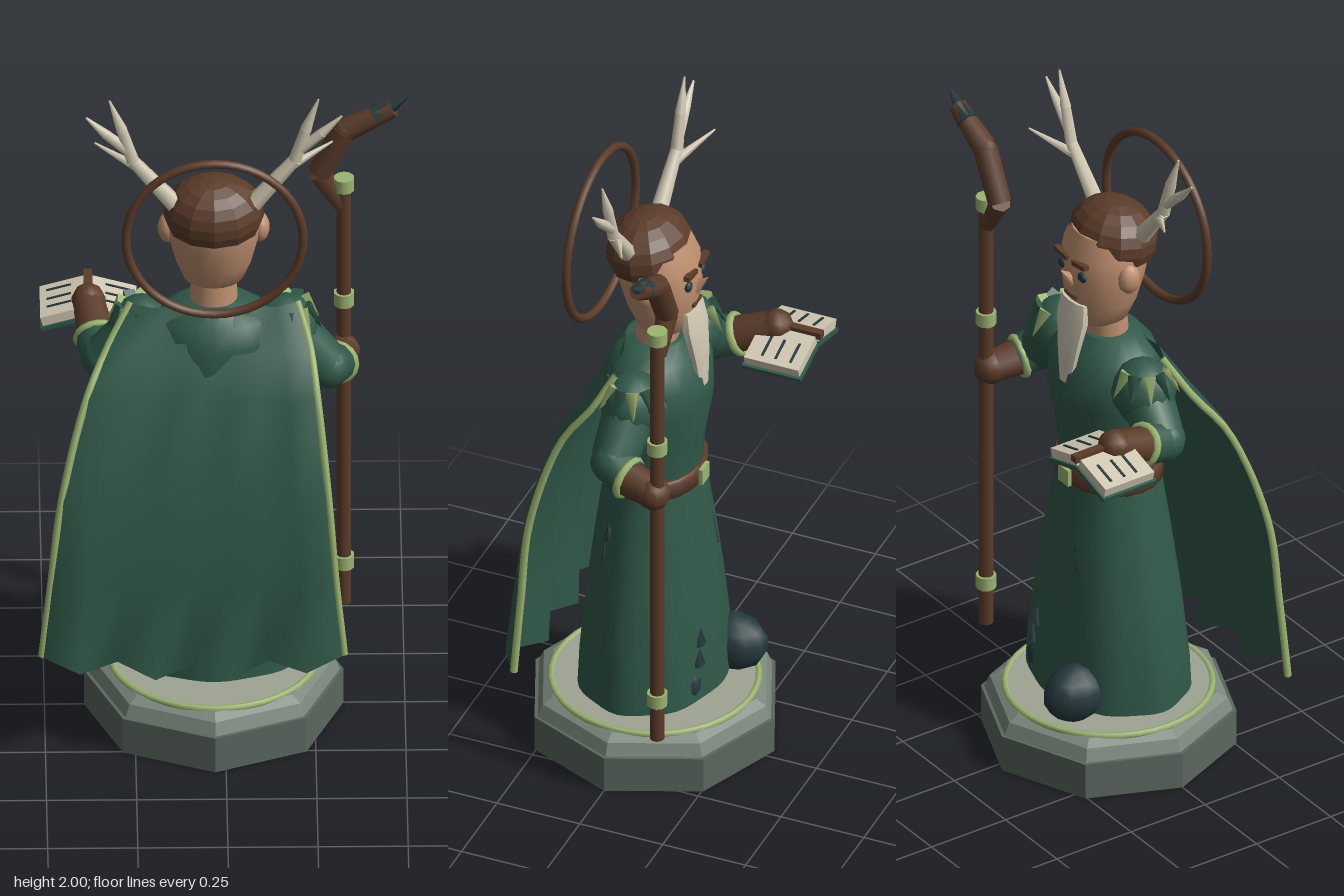
import * as THREE from 'three';
import { toCreasedNormals } from 'three/addons/utils/BufferGeometryUtils.js';

const V = (x, y, z) => new THREE.Vector3(x, y, z);
const CX = -0.03; // body axis

export function createModel() {
  const mat = (name, color) => {
    const m = new THREE.MeshStandardMaterial({ color });
    m.name = name;
    return m;
  };
  const cloth = mat('green cloth', 0x31594a), trim = mat('leaf green trim', 0x9db573);
  const leather = mat('brown wood and leather', 0x5c3c2a), skin = mat('skin', 0xc09070);
  const bone = mat('bone', 0xd2c9b4), slate = mat('dark slate', 0x263a3e);
  const stoneDark = mat('dark stone', 0x5b675f), stone = mat('stone', 0x7b877d), stoneTop = mat('pale stone', 0xa0a494);
  const capeMat = mat('cape cloth', 0x31594a);
  capeMat.side = THREE.DoubleSide;

  const model = new THREE.Group();
  model.name = 'hornedSage';
  const add = (name, geo, m, pos = V(0, 0, 0), parent = model) => {
    const mesh = new THREE.Mesh(geo, m);
    mesh.name = name;
    mesh.position.copy(pos);
    parent.add(mesh);
    return mesh;
  };
  // Tapered bar from a to b
  const bar = (name, a, b, ra, rb, m, sides = 8) => {
    const d = b.clone().sub(a);
    const mesh = add(name, new THREE.CylinderGeometry(rb, ra, d.length(), sides), m, a.clone().add(b).multiplyScalar(0.5));
    mesh.quaternion.setFromUnitVectors(V(0, 1, 0), d.normalize());
    return mesh;
  };
  const ball = (name, p, rx, ry, rz, m, w = 12, h = 8) => {
    const mesh = add(name, new THREE.SphereGeometry(1, w, h), m, p);
    mesh.scale.set(rx, ry, rz);
    return mesh;
  };
  // Stacked ellipses, each [y, rx, rz, z], bottom to top, closed at both ends
  const loft = (name, rings, m, x = CX, n = 20, fold = 0) => {
    const first = rings[0], last = rings[rings.length - 1];
    const rows = [[first[0], 0, 0, first[3]], ...rings, [last[0], 0, 0, last[3]]];
    const pos = [], idx = [];
    rows.forEach(([y, rx, rz, z = 0], i) => {
      for (let j = 0; j < n; j++) {
        const t = (j / n) * Math.PI * 2;
        const k = 1 + fold * Math.cos(t * 8) * (1 - i / rows.length);
        pos.push(Math.sin(t) * rx * k, y, Math.cos(t) * rz * k + z);
        if (i === rows.length - 1) continue;
        const a = i * n + j, b = i * n + ((j + 1) % n);
        idx.push(a, b, b + n, a, b + n, a + n);
      }
    });
    const g = new THREE.BufferGeometry();
    g.setAttribute('position', new THREE.Float32BufferAttribute(pos, 3));
    g.setIndex(idx);
    return add(name, toCreasedNormals(g, 0.8), m, V(x, 0, 0));
  };
  const faceted = (g) => toCreasedNormals(g, 0.01);

  // Octagonal pedestal
  const slab = (name, y0, y1, r0, r1, m) =>
    add(name, faceted(new THREE.CylinderGeometry(r1, r0, y1 - y0, 8)), m, V(CX, (y0 + y1) / 2, 0));
  slab('pedestalBase', 0, 0.11, 0.36, 0.36, stoneDark);
  slab('pedestalStep', 0.11, 0.147, 0.35, 0.335, stone);
  slab('pedestalBevel', 0.147, 0.163, 0.335, 0.305, stone);
  add('pedestalTop', new THREE.CylinderGeometry(0.285, 0.285, 0.006, 32), stoneTop, V(CX, 0.164, 0));
  add('pedestalRing', new THREE.TorusGeometry(0.288, 0.01, 6, 40).rotateX(Math.PI / 2), trim, V(CX, 0.163, 0));

  // Feet, robe and belt
  ball('leftFoot', V(-0.145, 0.255, -0.19), 0.075, 0.085, 0.1, slate, 10, 7);
  ball('rightFoot', V(0.08, 0.25, -0.09), 0.065, 0.08, 0.1, slate, 10, 7);
  loft('skirt', [[0.2, 0.265, 0.205, 0], [0.3, 0.262, 0.2, 0], [0.5, 0.232, 0.183, 0], [0.7, 0.195, 0.16, 0], [0.89, 0.158, 0.135, 0]],
    cloth, CX, 48, 0.02);
  loft('torso', [[0.88, 0.153, 0.13, 0], [1.0, 0.162, 0.137, 0], [1.14, 0.185, 0.15, -0.01], [1.23, 0.19, 0.145, -0.01],
    [1.29, 0.16, 0.115, 0], [1.33, 0.095, 0.08, 0]], cloth);
  loft('belt', [[0.86, 0.163, 0.138, 0], [0.868, 0.17, 0.145, 0], [0.912, 0.17, 0.145, 0], [0.92, 0.163, 0.138, 0]], leather);
  add('buckle', new THREE.BoxGeometry(0.05, 0.05, 0.012), trim, V(CX, 0.89, -0.148));
  // Leaf patches on the skirt: angle, height
  for (const [t, y] of [[1.1, 0.74], [1.05, 0.67], [3.45, 0.7], [3.5, 0.64], [2.75, 0.4], [2.7, 0.34]]) {
    const r = 0.27 - (y - 0.2) * 0.155;
    const leaf = add('skirtLeaf', new THREE.ConeGeometry(0.022, 0.06, 4), slate,
      V(CX + Math.sin(t) * r, y, Math.cos(t) * r * 0.8));
    leaf.rotation.y = t;
    leaf.scale.z = 0.5;
  }

  // Head
  loft('neck', [[1.29, 0.068, 0.06, -0.005], [1.42, 0.062, 0.06, -0.015]], skin);
  loft('head', [[1.365, 0.05, 0.05, -0.035], [1.39, 0.085, 0.078, -0.03], [1.45, 0.108, 0.1, -0.025], [1.53, 0.127, 0.115, -0.018],
    [1.6, 0.13, 0.116, -0.01], [1.66, 0.11, 0.1, 0]], skin);
  const hair = add('hair', faceted(new THREE.SphereGeometry(1, 12, 7, 0, Math.PI * 2, 0, Math.PI * 0.62)), leather, V(CX, 1.62, 0.015));
  hair.scale.set(0.14, 0.11, 0.12);
  hair.rotation.x = 0.12;
  add('nose', new THREE.ConeGeometry(0.026, 0.08, 6).rotateX(-0.75), skin, V(CX, 1.535, -0.135));
  bar('mouth', V(CX - 0.028, 1.472, -0.126), V(CX + 0.028, 1.472, -0.126), 0.006, 0.006, leather, 5);
  loft('beard', [[1.2, 0.026, 0.012, -0.145], [1.3, 0.046, 0.022, -0.135], [1.4, 0.064, 0.03, -0.12], [1.455, 0.056, 0.018, -0.115]], bone, CX, 10);
  for (const s of [-1, 1]) {
    ball('ear', V(CX + s * 0.128, 1.55, -0.02), 0.028, 0.045, 0.034, skin, 10, 7);
    ball('eye', V(CX + s * 0.048, 1.55, -0.122), 0.018, 0.016, 0.01, slate, 8, 6);
    const brow = add('brow', new THREE.BoxGeometry(0.06, 0.014, 0.018), leather, V(CX + s * 0.043, 1.588, -0.126));
    brow.rotation.z = s * 0.12;
    // Antler: stem, two crown tines and one forward tine
    const P = (x, y, z) => V(CX + s * x, y, z);
    const fork = P(0.225, 1.8, 0.03);
    bar('antlerStem', P(0.1, 1.65, 0.035), fork, 0.026, 0.018, bone, 6);
    bar('antlerTine', fork, P(0.255, 1.9, 0.032), 0.019, 0.016, bone, 6);
    bar('antlerTine', P(0.255, 1.9, 0.032), P(0.29, 2.0, 0.035), 0.017, 0.003, bone, 6);
    bar('antlerTine', P(0.235, 1.83, 0.03), P(0.3, 1.89, 0.035), 0.016, 0.014, bone, 6);
    bar('antlerTine', P(0.3, 1.89, 0.035), P(0.355, 1.945, 0.035), 0.014, 0.003, bone, 6);
    bar('antlerTine', P(0.2, 1.77, 0.03), P(0.33, 1.815, -0.04), 0.016, 0.003, bone, 6);
  }
  add('halo', new THREE.TorusGeometry(0.246, 0.0125, 8, 48), leather, V(CX, 1.625, 0.163));

  // Cape rows: [y, left x, right x, z, fold depth]
  const rows = [[1.33, -0.26, 0.2, 0.06, 0.008], [1.22, -0.325, 0.235, 0.12, 0.012], [1.1, -0.385, 0.255, 0.175, 0.018],
    [0.82, -0.455, 0.285, 0.262, 0.026], [0.56, -0.485, 0.305, 0.285, 0.035], [0.29, -0.51, 0.328, 0.3, 0.043]];
  const cols = 8, pos = [], idx = [], edges = [[], []];
  rows.forEach(([y, x0, x1, z, f], i) => {
    for (let j = 0; j <= cols; j++) {
      const u = j / cols, side = Math.abs(2 * u - 1), end = j === 0 || j === cols;
      const p = V(x0 + (x1 - x0) * u, y + (i === 5 ? 0.04 * side ** 2 : 0), z + f * (end ? -0.5 : j % 2 ? 1 : -1) - (i < 2 ? 0.03 * side ** 2 : 0));
      pos.push(p.x, p.y, p.z);
      if (end) edges[j ? 1 : 0].push(p);
      if (i < rows.length - 1 && j < cols) {
        const a = i * (cols + 1) + j, b = a + cols + 1;
        idx.push(a, b, a + 1, a + 1, b, b + 1);
      }
    }
  });
  const capeGeo = new THREE.BufferGeometry();
  capeGeo.setAttribute('position', new THREE.Float32BufferAttribute(pos, 3));
  capeGeo.setIndex(idx);
  capeGeo.computeVertexNormals();
  add('cape', capeGeo, capeMat);
  for (const e of edges) add('capeTrim', new THREE.TubeGeometry(new THREE.CatmullRomCurve3(e), 24, 0.011, 6), trim, V(0, 0, -0.006));

  // Arms: shoulder, elbow, cuff, hand
  const arms = [
    ['right', 1, V(0.17, 1.22, -0.02), V(0.285, 1.1, -0.01), V(0.31, 1.075, -0.065), V(0.33, 1.06, -0.15)],
    ['left', -1, V(-0.23, 1.22, -0.02), V(-0.335, 1.12, -0.03), V(-0.355, 1.14, -0.11), V(-0.375, 1.185, -0.22)],
  ];
  for (const [side, s, a, b, c, d] of arms) {
    ball(side + 'Shoulder', a, 0.095, 0.1, 0.09, cloth);
    bar(side + 'Sleeve', a, b, 0.08, 0.065, cloth, 12);
    ball(side + 'Elbow', b, 0.066, 0.066, 0.066, cloth);
    bar(side + 'LowerSleeve', b, c, 0.064, 0.058, cloth, 12);
    const cuff = add(side + 'Cuff', new THREE.TorusGeometry(0.054, 0.012, 6, 16), trim, c);
    cuff.lookAt(d);
    bar(side + 'Glove', c, d, 0.054, 0.046, leather, 10);
    ball(side + 'Hand', d, 0.048, 0.05, 0.048, leather, 10, 7);
    // Leaves draped over the shoulder
    for (let k = 0; k < 6; k++) {
      const t = -2.7 + k * 0.6;
      const out = V(s * Math.cos(t + 1.1), 0.55, Math.sin(t + 1.1)).normalize();
      const leaf = add(side + 'ShoulderLeaf', new THREE.ConeGeometry(0.024, 0.085, 4), k % 2 ? cloth : trim,
        a.clone().addScaledVector(out, 0.09));
      leaf.quaternion.setFromUnitVectors(V(0, 1, 0), V(out.x * 0.6, -0.8, out.z * 0.6).normalize());
    }
  }

  // Staff with a crooked head
  const S = (x, y) => V(x, y, -0.162);
  bar('staff', S(0.333, 0.23), S(0.333, 1.6), 0.021, 0.021, leather, 10);
  for (const y of [0.365, 1.225, 1.6]) bar('staffBand', S(0.333, y - 0.02), S(0.333, y + 0.02), 0.029, 0.029, trim, 10);
  const crook = [S(0.325, 1.53), S(0.265, 1.635), S(0.335, 1.775), S(0.47, 1.845)];
  [[0.022, 0.032], [0.034, 0.036], [0.036, 0.026]].forEach(([r0, r1], i) => bar('staffCrook', crook[i], crook[i + 1], r0, r1, leather, 7));
  ball('staffKnot', crook[2], 0.034, 0.034, 0.034, leather, 8, 6);
  bar('staffTip', S(0.42, 1.822), S(0.515, 1.885), 0.034, 0.001, slate, 5);
  bar('staffThorn', S(0.375, 1.8), S(0.44, 1.855), 0.022, 0.001, leather, 5);

  // Open book held on the left hand
  const book = new THREE.Group();
  book.name = 'book';
  book.position.set(-0.375, 1.158, -0.26);
  model.add(book);
  for (const s of [-1, 1]) {
    const half = new THREE.Group();
    half.name = 'bookHalf';
    half.rotation.z = -s * 0.28;
    book.add(half);
    add('cover', new THREE.BoxGeometry(0.138, 0.012, 0.178), cloth, V(s * 0.069, 0, 0), half);
    add('pages', new THREE.BoxGeometry(0.128, 0.028, 0.165), bone, V(s * 0.066, 0.02, 0), half);
    for (const z of [-0.05, -0.005, 0.035])
      add('pageLine', new THREE.BoxGeometry(0.07, 0.004, 0.007), slate, V(s * 0.075, 0.035, z), half);
  }
  add('bookSpine', new THREE.BoxGeometry(0.024, 0.02, 0.185), leather, V(0, 0.034, -0.005), book);

  return model;
}
